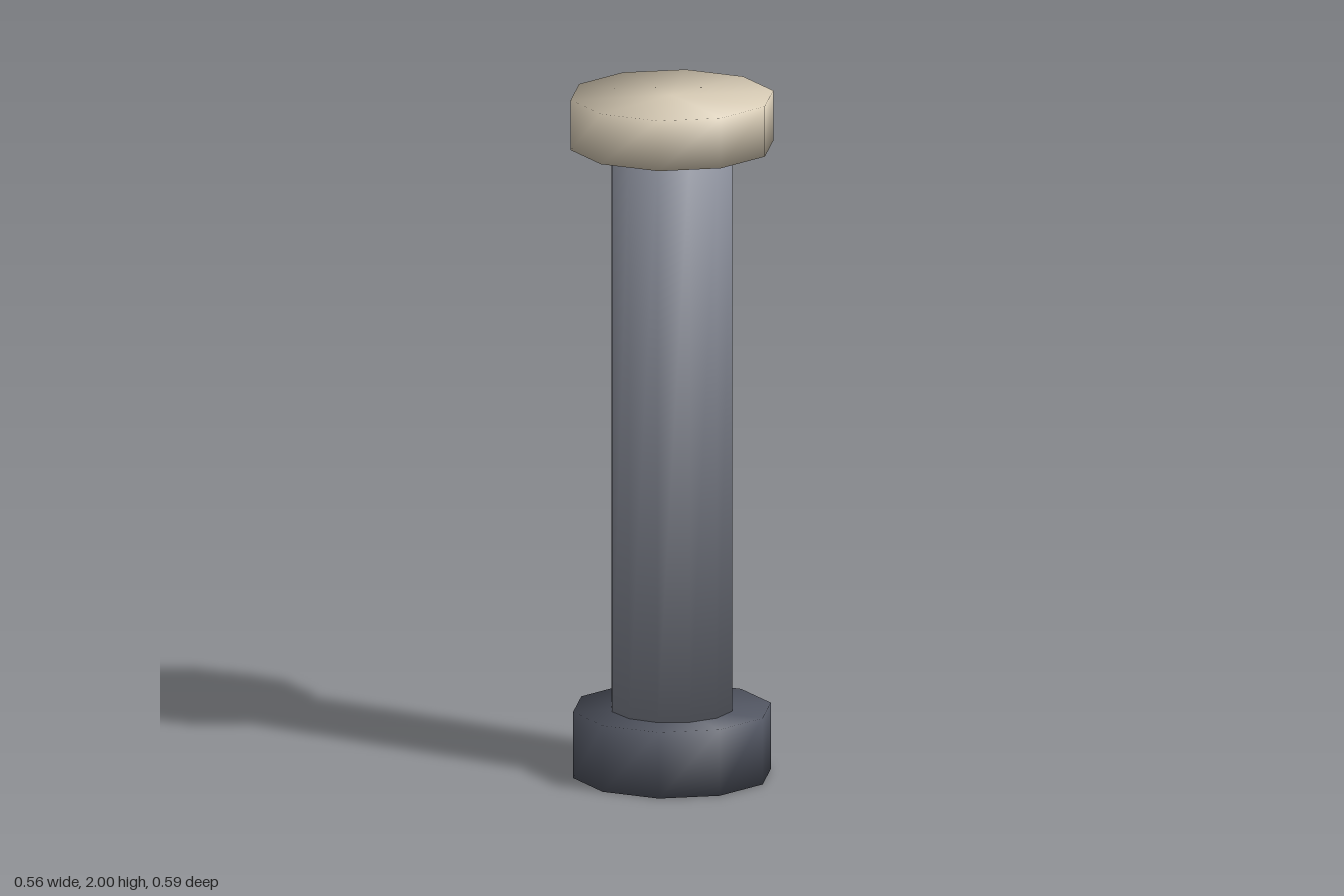
import * as THREE from 'three';

const cream = new THREE.MeshStandardMaterial({ name: 'cream', color: 0xd8ccb6 });
const grey = new THREE.MeshStandardMaterial({ name: 'slate grey', color: 0x868a96 });
const dark = new THREE.MeshStandardMaterial({ name: 'dark slate', color: 0x525662 });

// Upright prism whose rim normals blend the side with the cap for soft shading
function softPrism(name, radius, bottom, top, sides, material) {
  const height = top - bottom;
  const geometry = new THREE.CylinderGeometry(radius, radius, height, sides);
  const { position, normal } = geometry.attributes;
  const n = new THREE.Vector3();
  for (let i = 0; i < position.count; i++) {
    n.set(position.getX(i) / radius, Math.sign(position.getY(i)) * 0.85, position.getZ(i) / radius).normalize();
    normal.setXYZ(i, n.x, n.y, n.z);
  }
  const mesh = new THREE.Mesh(geometry, material);
  mesh.name = name;
  mesh.position.y = (bottom + top) / 2;
  return mesh;
}

export function createModel() {
  const group = new THREE.Group();
  group.name = 'post';
  group.add(
    softPrism('base', 0.287, 0, 0.195, 10, dark),
    softPrism('shaft', 0.178, 0.18, 1.87, 12, grey),
    softPrism('cap', 0.294, 1.852, 2, 10, cream)
  );
  return group;
}
